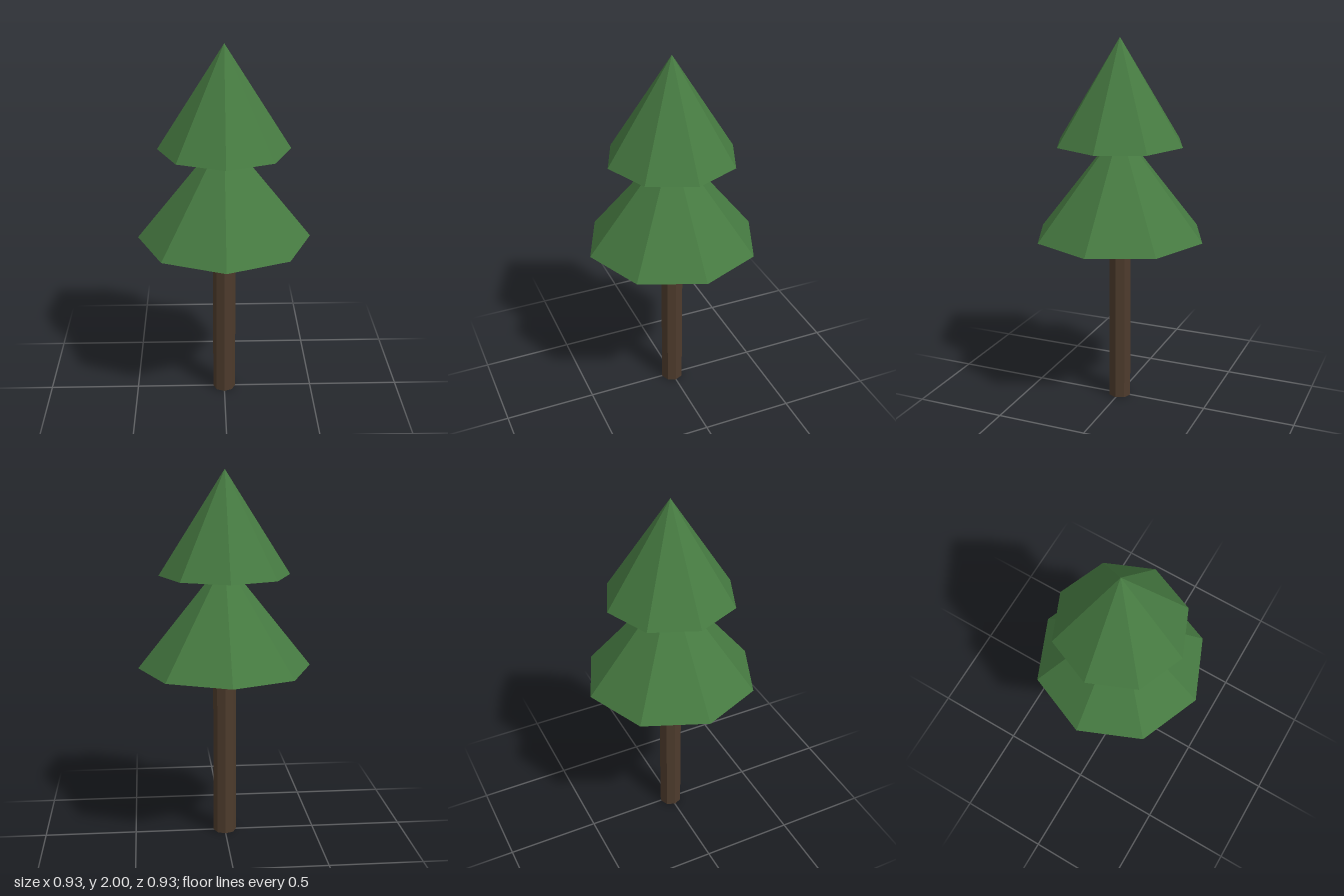
import * as THREE from 'three';

const SIDES = 8;

export function createModel() {
  const tree = new THREE.Group();
  tree.name = 'pineTree';

  const bark = new THREE.MeshStandardMaterial({ color: 0x4d3b2c, flatShading: true });
  bark.name = 'bark brown';
  const needles = new THREE.MeshStandardMaterial({ color: 0x467a41, flatShading: true });
  needles.name = 'needle green';

  // Places a part with its base at the given height
  const addPart = (name, geometry, material, baseY) => {
    const mesh = new THREE.Mesh(geometry, material);
    mesh.name = name;
    mesh.position.y = baseY + geometry.parameters.height / 2;
    tree.add(mesh);
  };

  // Straight octagonal trunk, ending just below the foliage
  addPart('trunk', new THREE.CylinderGeometry(0.063, 0.063, 0.877, SIDES), bark, 0);

  // Two stacked foliage cones; the lower tip is buried in the upper tier
  addPart('lowerFoliage', new THREE.ConeGeometry(0.467, 0.585, SIDES), needles, 0.95);
  addPart('upperFoliage', new THREE.ConeGeometry(0.35, 0.55, SIDES), needles, 1.45);

  return tree;
}
